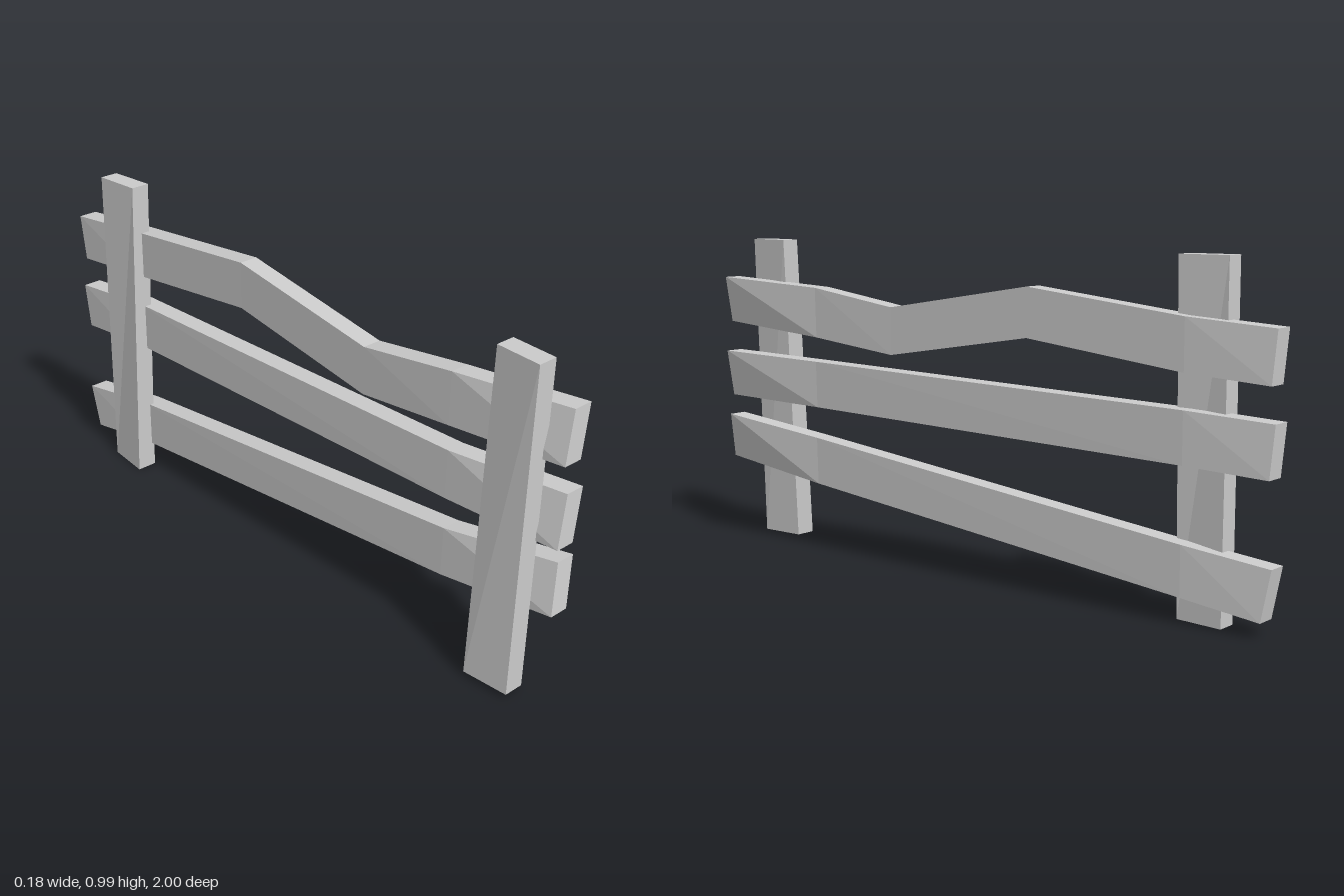
import * as THREE from 'three';

const material = new THREE.MeshStandardMaterial({ color: 0xcccccc, flatShading: true, side: THREE.DoubleSide });

// Skin a row of four-cornered sections; each ring runs counter-clockwise about the direction of travel.
function loft(name, rings, capStart) {
  const index = [];
  const last = (rings.length - 1) * 4;
  for (let s = 0; s < last; s += 4) {
    for (let i = 0; i < 4; i++) {
      const a = s + i, b = s + (i + 1) % 4;
      index.push(a, b, b + 4, a, b + 4, a + 4);
    }
  }
  index.push(last, last + 1, last + 2, last, last + 2, last + 3);
  if (capStart) index.push(0, 2, 1, 0, 3, 2);
  const indexed = new THREE.BufferGeometry();
  indexed.setAttribute('position', new THREE.Float32BufferAttribute(rings.flat(2), 3));
  indexed.setIndex(index);
  const geometry = indexed.toNonIndexed();
  geometry.computeVertexNormals();
  const mesh = new THREE.Mesh(geometry, material);
  mesh.name = name;
  return mesh;
}

// Post: each level gives height and the x span at its back and front edges.
function post(name, zBack, zFront, levels) {
  const rings = levels.map(([y, back, front]) => [
    [back[0], y, zBack], [front[0], y, zFront], [front[1], y, zFront], [back[1], y, zBack],
  ]);
  return loft(name, rings, false);
}

// Rail: stations run back to front as [zBottom, zTop, yBottom, yTop, xBottom, xTop].
const WIDTH = 0.06;
function rail(name, stations) {
  const rings = stations.map(([zb, zt, yb, yt, xb, xt]) => [
    [xb, yb, zb], [xb + WIDTH, yb, zb], [xt + WIDTH, yt, zt], [xt, yt, zt],
  ]);
  return loft(name, rings, true);
}

export function createModel() {
  const fence = new THREE.Group();
  fence.name = 'fence';

  // Leaning posts, open underneath
  fence.add(post('frontPost', 0.785, 0.93, [
    [0.015, [-0.09, -0.025], [-0.08, -0.018]],
    [0.99, [-0.04, 0.02], [-0.049, 0.012]],
  ]));
  fence.add(post('backPost', -0.845, -0.7, [
    [0, [-0.065, -0.003], [-0.08, -0.015]],
    [0.99, [-0.062, -0.005], [-0.05, 0.01]],
  ]));

  // Warped rails, their front ends twisted outward
  fence.add(rail('topRail', [
    [-0.99, -1, 0.665, 0.812, -0.04, -0.048],
    [-0.74, -0.74, 0.682, 0.83, -0.023, -0.023],
    [-0.22, -0.22, 0.74, 0.885, -0.02, -0.02],
    [0.3, 0.3, 0.655, 0.8, -0.02, -0.02],
    [0.62, 0.62, 0.688, 0.845, -0.02, -0.016],
    [1, 0.99, 0.72, 0.867, -0.007, 0.027],
  ]));
  fence.add(rail('middleRail', [
    [-0.99, -1, 0.422, 0.568, -0.04, -0.048],
    [-0.74, -0.74, 0.435, 0.583, -0.023, -0.023],
    [0.62, 0.62, 0.465, 0.611, -0.02, -0.016],
    [1, 0.99, 0.475, 0.625, -0.007, 0.027],
  ]));
  fence.add(rail('bottomRail', [
    [-0.975, -1, 0.045, 0.19, -0.04, -0.048],
    [-0.74, -0.74, 0.077, 0.222, -0.023, -0.023],
    [0.62, 0.62, 0.218, 0.367, -0.02, -0.016],
    [1, 0.98, 0.27, 0.415, -0.007, 0.027],
  ]));

  return fence;
}
